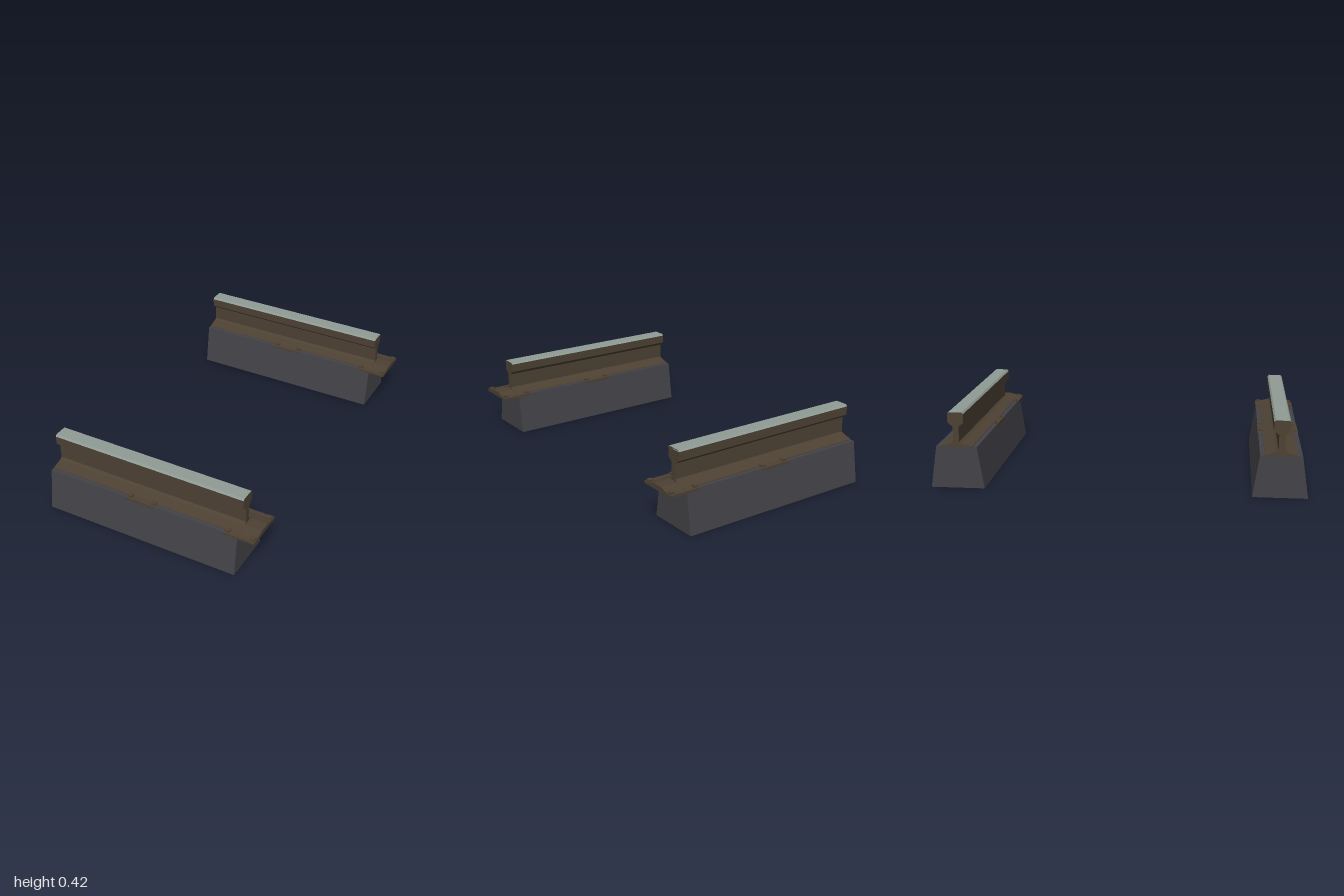
import * as THREE from 'three';

const mat = (name, color) => {
  const m = new THREE.MeshStandardMaterial({ color });
  m.name = name;
  return m;
};

// Extrude a symmetric section, given as [half width, height] from bottom to top, along x
function bar(name, half, x0, x1, material) {
  const pts = [...half, ...half.map(([z, y]) => [-z, y]).reverse()];
  const shape = new THREE.Shape(pts.map(([z, y]) => new THREE.Vector2(z, y)));
  const geo = new THREE.ExtrudeGeometry(shape, { depth: x1 - x0, bevelEnabled: false });
  geo.rotateY(Math.PI / 2);
  geo.translate(x0, 0, 0);
  const mesh = new THREE.Mesh(geo, material);
  mesh.name = name;
  return mesh;
}

export function createModel() {
  const rust = mat('rusty brown', 0x4d4133);
  const stone = mat('dark grey', 0x434247);
  const steel = mat('polished steel', 0x8f9b95);
  const X0 = -0.61, X1 = 0.515;

  function railUnit(name) {
    const g = new THREE.Group();
    g.name = name;

    // Tapered beam below the rail
    g.add(bar('beam', [[0.145, 0], [0.112, 0.215]], X0, X1, stone));

    // Pads between the tie plates
    for (const [a, b] of [[X0, -0.14], [0.04, 0.43]])
      g.add(bar('pad', [[0.112, 0.215], [0.11, 0.228]], a, b, stone));

    // Tie plates with raised middle; the last one overhangs the beam
    for (const [a, b] of [[-0.14, 0.04], [0.43, 0.61]]) {
      g.add(bar('tiePlate', [[0.112, 0.215], [0.112, 0.228], [0.085, 0.23], [0.03, 0.244]], a, b, rust));
      // Spike heads at the plate corners
      for (const x of [a + 0.022, b - 0.018])
        for (const z of [-0.09, 0.09]) {
          const spike = new THREE.Mesh(new THREE.BoxGeometry(0.026, 0.014, 0.026), rust);
          spike.name = 'spike';
          spike.position.set(x, 0.232, z);
          g.add(spike);
        }
    }

    // Rail: foot, web and head
    g.add(bar('rail', [
      [0.086, 0.22], [0.086, 0.231], [0.03, 0.246], [0.016, 0.255], [0.016, 0.338],
      [0.043, 0.36], [0.043, 0.407], [0.035, 0.415],
    ], X0, X1, rust));

    // Worn running surface over the head
    g.add(bar('runningSurface', [[0.0435, 0.407], [0.0355, 0.417]], X0, X1, steel));
    return g;
  }

  const model = new THREE.Group();
  model.name = 'railTrack';
  for (const side of [1, -1]) {
    const unit = railUnit(side > 0 ? 'frontRail' : 'backRail');
    unit.position.z = side * 0.855;
    model.add(unit);
  }
  return model;
}
